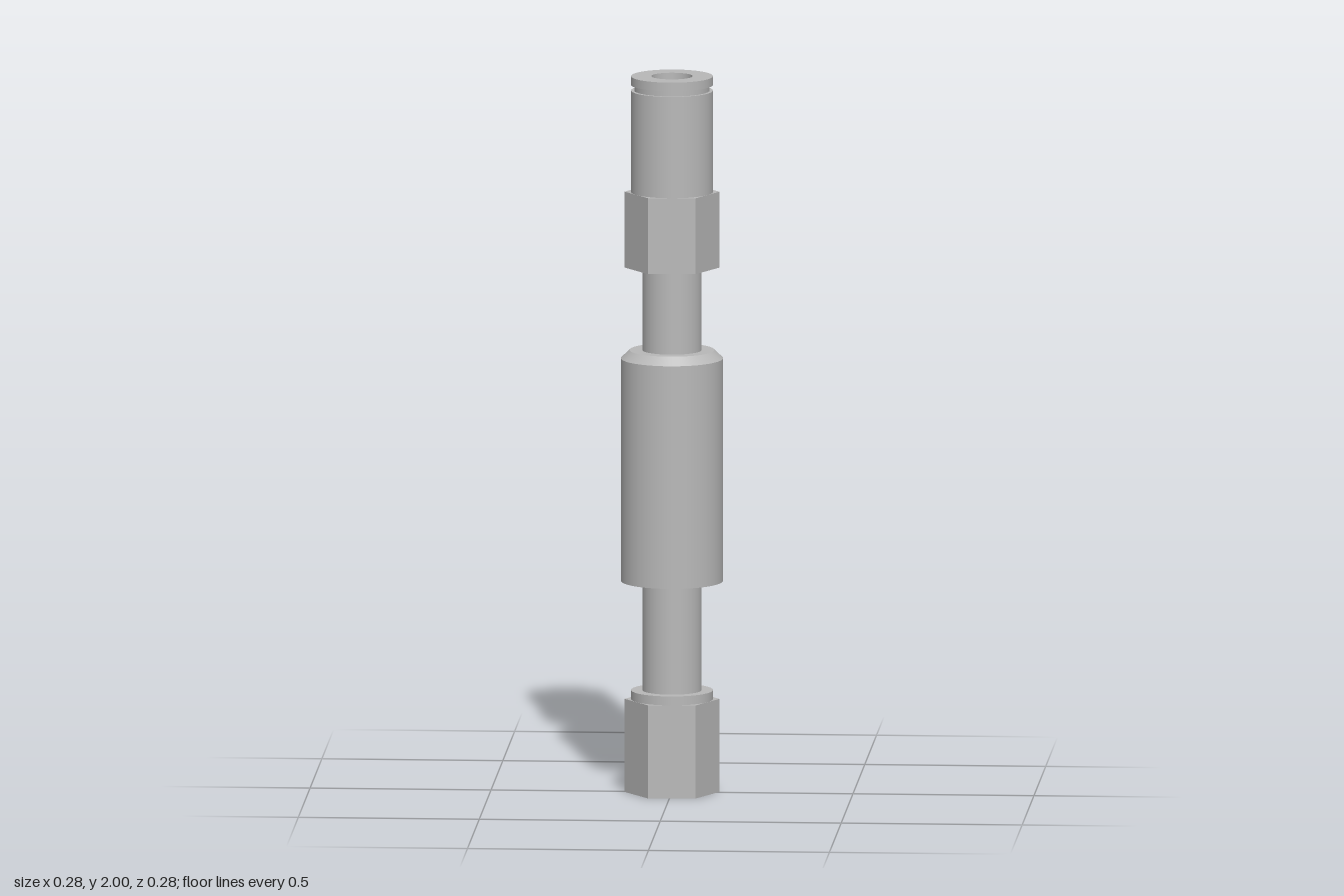
import * as THREE from 'three';
import { mergeGeometries } from 'three/addons/utils/BufferGeometryUtils.js';

const HEX_RADIUS = 0.131, HEX_TURN = THREE.MathUtils.degToRad(3.5);
const SLEEVE = 0.113, SHAFT = 0.082, BORE = 0.028, SOCKET = 0.057;

// Turned ring from a closed [radius, y] outline, with crisp edges between bands.
function turned(points) {
  return mergeGeometries(points.map((p, i) => {
    const q = points[(i + 1) % points.length];
    return new THREE.LatheGeometry([new THREE.Vector2(...p), new THREE.Vector2(...q)], 64);
  }));
}

// Hexagonal nut between two heights, with a round hole.
function hexNut(y0, y1, hole) {
  const shape = new THREE.Shape();
  for (let i = 0; i < 6; i++) {
    const a = i * Math.PI / 3 + HEX_TURN;
    shape[i ? 'lineTo' : 'moveTo'](HEX_RADIUS * Math.cos(a), HEX_RADIUS * Math.sin(a));
  }
  shape.closePath();
  shape.holes.push(new THREE.Path().absarc(0, 0, hole, 0, Math.PI * 2, true));
  const g = new THREE.ExtrudeGeometry(shape, { depth: y1 - y0, bevelEnabled: false, curveSegments: 32 });
  return g.rotateX(-Math.PI / 2).translate(0, y0, 0);
}

export function createModel() {
  const group = new THREE.Group();
  group.name = 'inlineFitting';
  const metal = new THREE.MeshStandardMaterial({ color: 0xb8b8b8 });
  metal.name = 'grey metal';
  const add = (name, geometry) => {
    const mesh = new THREE.Mesh(geometry, metal);
    mesh.name = name;
    group.add(mesh);
  };

  // Lower nut and its collar
  add('lowerNut', hexNut(0, 0.26, BORE));
  add('lowerCollar', turned([[0.06, 0.25], [SLEEVE, 0.25], [SLEEVE, 0.285], [0.06, 0.285]]));

  // Hollow shaft, its top end forming the socket floor
  add('shaft', turned([[BORE, 0.26], [SHAFT, 0.26], [SHAFT, 1.66], [BORE, 1.66]]));

  // Wide body with a chamfered top
  add('body', turned([[0.06, 0.59], [0.141, 0.59], [0.141, 1.212], [0.117, 1.235], [0.06, 1.235]]));

  // Upper nut and grooved sleeve with the open socket
  add('upperNut', hexNut(1.465, 1.677, 0.06));
  add('upperSleeve', turned([
    [SOCKET, 1.5], [SLEEVE, 1.5], [SLEEVE, 1.96], [0.104, 1.96],
    [0.104, 1.976], [SLEEVE, 1.976], [SLEEVE, 2], [SOCKET, 2],
  ]));
  return group;
}
